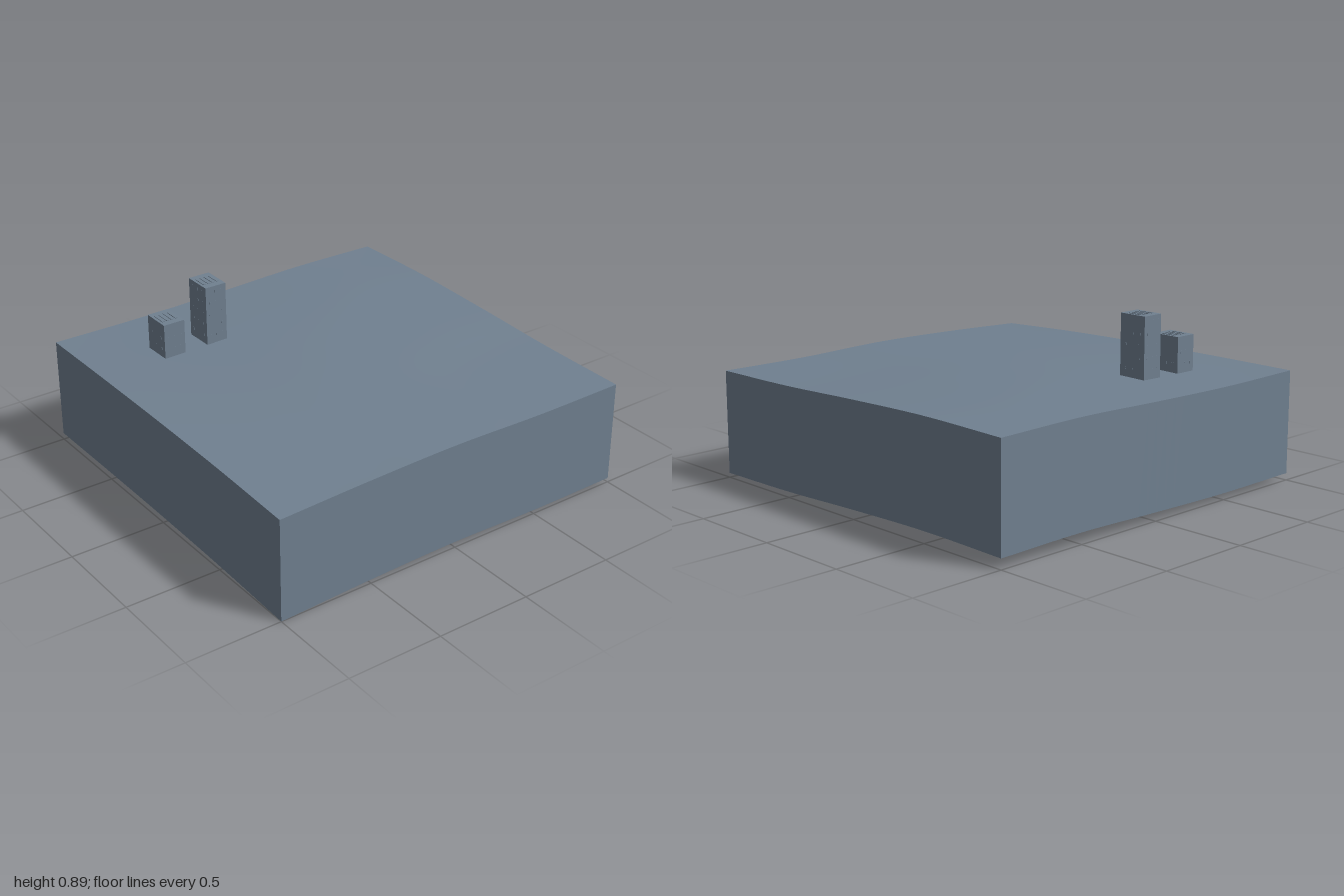
import * as THREE from 'three';

const DEPTH = 0.533; // height of the side walls

// Height curve along one edge, t from 0 to 1
const edge = (...ys) => {
  const c = new THREE.CatmullRomCurve3(ys.map((y, i) => new THREE.Vector3(i, y, 0)), false, 'catmullrom', 0.5);
  return (t) => c.getPoint(t).y;
};
const front = edge(0.538, 0.558, 0.568, 0.558, 0.561);
const back = edge(0.574, 0.571, 0.581, 0.595, 0.59);
const left = edge(0.59, 0.597, 0.585, 0.567, 0.561);
const right = edge(0.574, 0.574, 0.57, 0.559, 0.538);

// Ground height blended from the four edges
function ground(x, z) {
  const u = (x + 1) / 2, v = (z + 1) / 2, mix = THREE.MathUtils.lerp;
  const corners = mix(mix(back(0), back(1), u), mix(front(0), front(1), u), v);
  return mix(back(u), front(u), v) + mix(right(v), left(v), u) - corners;
}

function addMesh(parent, geometry, material, name, x = 0, y = 0, z = 0) {
  const m = new THREE.Mesh(geometry, material);
  m.name = name;
  m.position.set(x, y, z);
  parent.add(m);
  return m;
}

// Tower with roof slats and small windows
function tower(name, x, top, material) {
  const g = new THREE.Group();
  g.name = name;
  const w = 0.118, d = 0.155, z = -0.587;
  const base = ground(x, z) - 0.005, h = top - base;
  g.position.set(x, base, z);
  addMesh(g, new THREE.BoxGeometry(w, h, d), material, 'towerBody', 0, h / 2, 0);
  for (let i = 0; i < 4; i++) {
    addMesh(g, new THREE.BoxGeometry(0.014, 0.004, 0.08), material, 'roofSlat', (i - 1.5) * 0.025, h + 0.001, 0);
  }
  for (let y = 0.05; y < h - 0.02; y += 0.06) {
    for (const s of [-1, 1]) {
      for (const k of [-1, 0, 1]) {
        addMesh(g, new THREE.BoxGeometry(0.01, 0.014, 0.002), material, 'window', k * 0.035, y, s * d / 2);
        addMesh(g, new THREE.BoxGeometry(0.002, 0.014, 0.01), material, 'window', s * w / 2, y, k * 0.045);
      }
    }
  }
  return g;
}

export function createModel() {
  const model = new THREE.Group();
  model.name = 'terrainBlock';
  const slate = new THREE.MeshStandardMaterial({ color: 0x708090, side: THREE.DoubleSide });
  slate.name = 'slateGrey';

  // Rolling top surface
  const topGeo = new THREE.PlaneGeometry(2, 2, 32, 32).rotateX(-Math.PI / 2);
  const p = topGeo.attributes.position;
  for (let i = 0; i < p.count; i++) p.setY(i, ground(p.getX(i), p.getZ(i)));
  topGeo.computeVertexNormals();
  addMesh(model, topGeo, slate, 'groundSurface');

  // Four walls whose lower rim follows the ground; open underneath
  ['frontWall', 'leftWall', 'backWall', 'rightWall'].forEach((name, k) => {
    const geo = new THREE.PlaneGeometry(2, 2, 32, 1).translate(0, 0, 1).rotateY(k * Math.PI / 2);
    const q = geo.attributes.position;
    for (let i = 0; i < q.count; i++) {
      const y = ground(q.getX(i), q.getZ(i));
      q.setY(i, q.getY(i) > 0 ? y : y - DEPTH);
    }
    addMesh(model, geo, slate, name);
  });

  model.add(tower('shortTower', -0.587, 0.76, slate));
  model.add(tower('tallTower', -0.338, 0.895, slate));
  return model;
}
